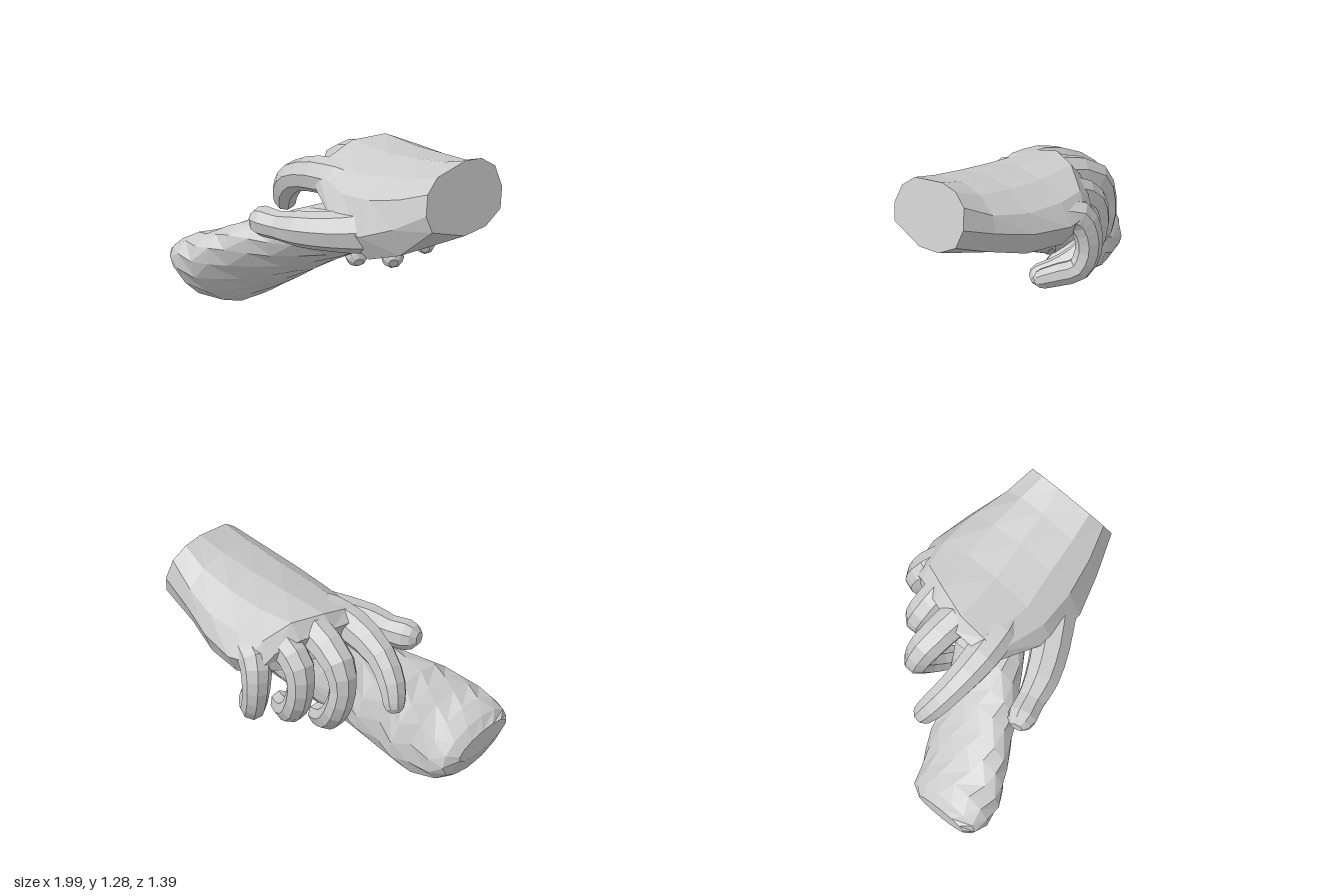
import * as THREE from 'three';

const material = new THREE.MeshStandardMaterial({ color: 0xcccccc, flatShading: true });

// Closed skin through rings of points; rings run counter-clockwise around the direction of travel
function loft(name, rings) {
  const n = rings[0].length, positions = [], index = [];
  rings.forEach(ring => ring.forEach(p => positions.push(p.x, p.y, p.z)));
  for (let i = 0; i < rings.length - 1; i++) {
    for (let j = 0; j < n; j++) {
      const k = (j + 1) % n, a = i * n + j, b = i * n + k;
      index.push(a, b, b + n, a, b + n, a + n);
    }
  }
  for (const ring of [rings[0], rings[rings.length - 1]]) {
    const middle = ring.reduce((s, p) => s.add(p), new THREE.Vector3()).divideScalar(n);
    positions.push(middle.x, middle.y, middle.z);
  }
  const c0 = rings.length * n, base = c0 - n;
  for (let j = 0; j < n; j++) {
    const k = (j + 1) % n;
    index.push(c0, k, j, c0 + 1, base + j, base + k);
  }
  const geometry = new THREE.BufferGeometry();
  geometry.setAttribute('position', new THREE.Float32BufferAttribute(positions, 3));
  geometry.setIndex(index);
  geometry.computeVertexNormals();
  const mesh = new THREE.Mesh(geometry, material);
  mesh.name = name;
  return mesh;
}

// Tapered finger along points [x, y, z, radius], with a rounded tip
function finger(name, points, sides = 8) {
  const curve = new THREE.CatmullRomCurve3(points.map(p => new THREE.Vector3(p[0], p[1], p[2])));
  const spans = points.length - 1, steps = spans * 2, rings = [];
  const normal = new THREE.Vector3(0, 1, 0.2);
  let centre, tangent, radius;
  const addRing = (c, r) => {
    const binormal = tangent.clone().cross(normal);
    rings.push(Array.from({ length: sides }, (_, j) => {
      const a = (j + 0.5) / sides * Math.PI * 2;
      return c.clone().addScaledVector(normal, Math.cos(a) * r).addScaledVector(binormal, Math.sin(a) * r);
    }));
  };
  for (let i = 0; i <= steps; i++) {
    const t = i / steps, s = Math.min(Math.floor(t * spans), spans - 1);
    centre = curve.getPoint(t);
    tangent = curve.getTangent(t);
    normal.addScaledVector(tangent, -normal.dot(tangent)).normalize();
    radius = THREE.MathUtils.lerp(points[s][3], points[s + 1][3], t * spans - s);
    addRing(centre, radius);
  }
  for (const [along, size] of [[0.5, 0.82], [0.85, 0.42]]) {
    addRing(centre.clone().addScaledVector(tangent, radius * along), radius * size);
  }
  return loft(name, rings);
}

// Back of the hand and palm: outlines [z, y] from wrist to knuckles, starting at the thumb side
function palm() {
  const knuckleX = z => -0.12 + 0.46 * Math.max(0, -z - 0.2);
  const sections = [
    [y => 1 - (y - 0.84) * 0.23, [[.19, 1.02], [.15, 1.15], [.05, 1.235], [-.2, 1.285], [-.33, 1.27],
      [-.43, 1.2], [-.46, 1.06], [-.42, .93], [-.28, .85], [-.1, .83], [.16, .91]]],
    [() => 0.72, [[.27, .88], [.21, 1.07], [.07, 1.18], [-.18, 1.23], [-.36, 1.2],
      [-.48, 1.1], [-.51, .98], [-.45, .83], [-.3, .77], [-.04, .72], [.2, .69]]],
    [() => 0.48, [[.335, .78], [.25, 1.01], [.09, 1.13], [-.16, 1.19], [-.38, 1.17],
      [-.55, 1.06], [-.6, .93], [-.53, .77], [-.3, .74], [.06, .63], [.25, .61]]],
    [() => 0.22, [[.33, .82], [.25, .98], [.12, 1.08], [-.14, 1.16], [-.38, 1.15],
      [-.57, 1.06], [-.66, .92], [-.58, .77], [-.3, .76], [-.02, .75], [.22, .66]]],
    [(y, z) => knuckleX(z), [[.18, .92], [.16, 1.02], [.07, 1.08], [-.14, 1.15], [-.36, 1.16],
      [-.54, 1.07], [-.64, .94], [-.56, .83], [-.34, .84], [-.1, .84], [.1, .84]]],
    [(y, z) => knuckleX(z) - 0.08, [[.14, .93], [.12, .99], [.05, 1.03], [-.14, 1.07], [-.36, 1.06],
      [-.52, 1], [-.59, .93], [-.52, .87], [-.34, .88], [-.1, .88], [.08, .88]]],
  ];
  return loft('palm', sections.map(([x, outline]) =>
    outline.map(([z, y]) => new THREE.Vector3(x(y, z), y, z))));
}

// Club: leaning ovals [x, centre z, centre y, half width, half height] from the thick low end upwards
function club() {
  const sections = [[-.975, .42, .29, .2, .07], [-.92, .4, .26, .27, .16], [-.82, .395, .25, .3, .23],
    [-.7, .36, .27, .325, .25], [-.6, .315, .325, .325, .245], [-.5, .275, .385, .31, .24],
    [-.37, .21, .45, .3, .225], [-.25, .155, .515, .29, .215], [-.12, .075, .58, .285, .205],
    [0, 0, .635, .28, .195], [.1, -.05, .69, .27, .185], [.2, -.105, .745, .26, .17],
    [.3, -.15, .785, .23, .145], [.35, -.17, .8, .15, .09]];
  const sides = 14;
  return loft('club', sections.map(([x, cz, cy, w, h], i) => Array.from({ length: sides }, (_, j) => {
    const a = (j + (i % 2) * 0.5) / sides * Math.PI * 2, side = Math.sin(a) * w;
    const lean = THREE.MathUtils.clamp(-0.6 * x, 0, 0.28);
    return new THREE.Vector3(x - side * 0.08, cy + Math.cos(a) * h + side * lean, cz + side);
  })));
}

export function createModel() {
  const model = new THREE.Group();
  model.name = 'handHoldingClub';
  const hand = new THREE.Group();
  hand.name = 'hand';
  hand.add(
    palm(),
    finger('thumb', [[.58, .83, .08, .14], [.4, .77, .19, .15], [.2, .74, .325, .13], [0, .725, .42, .115],
      [-.14, .715, .455, .095], [-.26, .72, .485, .1]]),
    finger('indexFinger', [[.22, .98, .03, .09], [.02, .97, .06, .13], [-.18, .955, .08, .12],
      [-.43, .87, .06, .1], [-.57, .74, .015, .09], [-.62, .64, -.02, .075]]),
    finger('middleFinger', [[.12, 1.02, -.15, .09], [-.1, 1.02, -.19, .12], [-.34, .92, -.235, .11],
      [-.4, .76, -.26, .09], [-.36, .59, -.28, .085], [-.24, .45, -.23, .082], [-.1, .37, -.16, .075]]),
    finger('ringFinger', [[.16, 1.01, -.36, .09], [-.02, .99, -.39, .11], [-.16, .89, -.41, .105],
      [-.19, .74, -.43, .09], [-.13, .57, -.42, .085], [0, .46, -.35, .082], [.13, .4, -.26, .075]]),
    finger('littleFinger', [[.22, .95, -.5, .1], [.08, .92, -.56, .11], [.03, .81, -.6, .095],
      [.03, .67, -.61, .085], [.08, .55, -.58, .08], [.17, .51, -.5, .077], [.25, .48, -.43, .068]]),
  );
  model.add(hand, club());
  return model;
}
